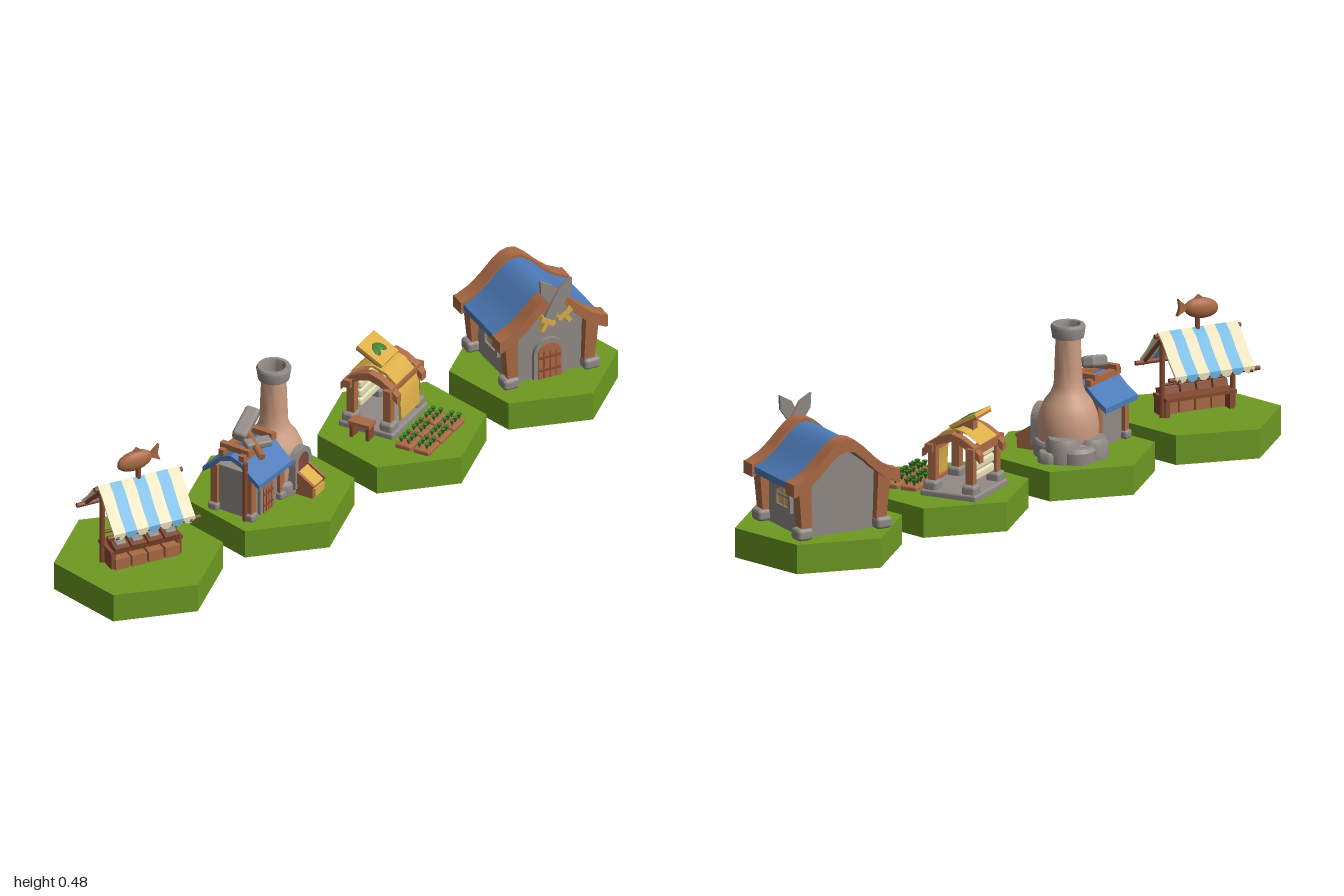
import * as THREE from 'three';
import { toCreasedNormals } from 'three/addons/utils/BufferGeometryUtils.js';
import { RoundedBoxGeometry } from 'three/addons/geometries/RoundedBoxGeometry.js';

const COLORS = {
  grass: 0x6d9a22, wood: 0xaa6a45, darkWood: 0x874a31, roofBlue: 0x4d7bb8, stone: 0x918a86,
  gold: 0xdcae48, clay: 0xcb9b80, cream: 0xe8dfb8, skyBlue: 0x6cb4e0, leaf: 0x3f7d28,
};
const GROUND = 0.088;

export function createModel() {
  const M = {};
  for (const [name, color] of Object.entries(COLORS)) {
    M[name] = new THREE.MeshStandardMaterial({ color, side: THREE.DoubleSide });
    M[name].name = name;
  }

  // ---- helpers ----
  const add = (g, name, geo, mat, p = [0, 0, 0], r = [0, 0, 0]) => {
    const m = new THREE.Mesh(geo, M[mat]);
    m.name = name;
    m.position.set(...p);
    m.rotation.set(...r);
    g.add(m);
    return m;
  };
  const box = (g, name, mat, s, p, r) => add(g, name, new THREE.BoxGeometry(...s), mat, p, r);
  const rock = (g, name, mat, s, p, r) =>
    add(g, name, new RoundedBoxGeometry(...s, 2, Math.min(...s) * 0.3), mat, p, r);
  const pole = (g, name, mat, a, b, r0, r1 = r0) => {
    const A = new THREE.Vector3(...a), B = new THREE.Vector3(...b);
    const m = add(g, name, new THREE.CylinderGeometry(r1, r0, A.distanceTo(B), 8), mat);
    m.position.copy(A).add(B).multiplyScalar(0.5);
    m.quaternion.setFromUnitVectors(new THREE.Vector3(0, 1, 0), B.sub(A).normalize());
    return m;
  };
  const lathe = (g, name, mat, pts, p) => add(g, name, toCreasedNormals(
    new THREE.LatheGeometry(pts.map(q => new THREE.Vector2(...q)), 24), 0.7), mat, p);
  const extrude = (shape, d) => toCreasedNormals(
    new THREE.ExtrudeGeometry(shape, { depth: d, bevelEnabled: false, curveSegments: 10 })
      .translate(0, 0, -d / 2), 0.6);
  const poly = pts => new THREE.Shape(pts.map(q => new THREE.Vector2(...q)));
  // bent sheet: a profile line given thickness, then extruded to width d
  const sheet = (pts, d, dx, dy) =>
    extrude(poly([...pts, ...[...pts].reverse().map(([x, y]) => [x + dx, y + dy])]), d);
  const mirror = half => [...half.slice(1).reverse().map(([x, y]) => [-x, y]), ...half];
  const along = geo => geo.rotateY(-Math.PI / 2); // profile x becomes z
  const arch = (w, h, C = THREE.Shape) => {
    const s = new C();
    s.moveTo(-w / 2, 0); s.lineTo(w / 2, 0); s.lineTo(w / 2, h - w / 2);
    s.absarc(0, h - w / 2, w / 2, 0, Math.PI, false);
    s.lineTo(-w / 2, 0);
    return s;
  };
  const archFrame = (w, h, t, d) => {
    const s = arch(w, h);
    const hole = arch(w - 2 * t, h - 2 * t, THREE.Path);
    s.holes.push(new THREE.Path(hole.getPoints(10).map(q => q.add(new THREE.Vector2(0, t)))));
    return extrude(s, d);
  };
  const place = (parent, name, x, z, turn) => {
    const g = new THREE.Group();
    g.name = name;
    g.position.set(x, 0, z);
    g.rotation.y = turn;
    parent.add(g);
    return g;
  };
  const door = (g, w, h, z) => {
    add(g, 'doorFrame', extrude(arch(w + 0.026, h + 0.014), 0.016), 'stone', [0, GROUND, z]);
    add(g, 'door', extrude(arch(w, h), 0.008), 'wood', [0, GROUND, z + 0.008]);
    for (const k of [-1, 0, 1]) box(g, 'doorPlankGap', 'darkWood', [0.004, h * 0.75, 0.004], [k * w * 0.25, GROUND + h * 0.4, z + 0.011]);
    for (const k of [0.25, 0.62]) box(g, 'doorStrap', 'darkWood', [w * 0.9, 0.008, 0.004], [0, GROUND + h * k, z + 0.012]);
  };

  const model = new THREE.Group();
  model.name = 'villageTiles';
  for (const x of [-0.783, -0.261, 0.261, 0.783])
    add(model, 'grassTile', toCreasedNormals(new THREE.CylinderGeometry(0.2506, 0.2506, GROUND, 6), 0.5), 'grass', [x, GROUND / 2, 0]);

  // ---- market stall ----
  const stall = place(model, 'marketStall', -0.783, 0, -0.31);
  const slope = mirror([[0, 0.345], [0.03, 0.322], [0.07, 0.275], [0.11, 0.238]]);
  for (let i = 0; i < 7; i++) {
    const x = (i - 3) * 0.037, mat = i % 2 ? 'skyBlue' : 'cream';
    add(stall, 'awningStripe', along(sheet(slope, 0.037, 0, -0.009)), mat, [x, 0, 0]);
    for (const s of [-1, 1])
      add(stall, 'awningScallop', new THREE.CircleGeometry(0.0185, 10, Math.PI, Math.PI), mat, [x, 0.236, s * 0.111]);
  }
  for (const s of [-1, 1]) {
    pole(stall, 'eavePole', 'darkWood', [-0.148, 0.228, s * 0.103], [0.148, 0.228, s * 0.103], 0.007);
    pole(stall, 'stallPost', 'darkWood', [s * 0.115, GROUND, 0], [s * 0.115, 0.335, 0], 0.009, 0.008);
    for (const k of [-1, 1]) pole(stall, 'rafter', 'darkWood', [s * 0.118, 0.323, 0], [s * 0.118, 0.222, k * 0.112], 0.006);
    box(stall, 'counterLeg', 'darkWood', [0.014, 0.06, 0.07], [s * 0.105, 0.115, 0.02]);
  }
  pole(stall, 'ridgePole', 'darkWood', [-0.14, 0.333, 0], [0.14, 0.333, 0], 0.007);
  box(stall, 'counter', 'darkWood', [0.23, 0.01, 0.085], [0, 0.142, 0.015]);
  pole(stall, 'hangingRail', 'darkWood', [-0.115, 0.185, 0], [0.115, 0.185, 0], 0.005);
  for (let i = 0; i < 4; i++) {
    const x = (i - 1.5) * 0.053;
    box(stall, 'lowCrate', 'wood', [0.047, 0.035, 0.05], [x, 0.106, 0.04]);
    box(stall, 'crate', 'darkWood', [0.047, 0.022, 0.055], [x, 0.156, 0.035], [0.3, 0, 0]);
    rock(stall, 'catch', 'stone', [0.034, 0.016, 0.04], [x, 0.168, 0.035], [0.3, 0, 0]);
  }
  // carved fish sign
  pole(stall, 'fishStand', 'darkWood', [0, 0.33, 0], [0, 0.39, 0], 0.008);
  const fish = new THREE.Group();
  fish.name = 'fishSign';
  fish.position.set(0, 0.402, 0);
  fish.rotation.z = 0.12;
  stall.add(fish);
  add(fish, 'fishBody', new THREE.SphereGeometry(1, 16, 10), 'wood', [-0.012, 0, 0]).scale.set(0.056, 0.031, 0.021);
  add(fish, 'fishTail', extrude(poly([[0.03, 0], [0.068, 0.027], [0.06, 0], [0.066, -0.025]]), 0.012), 'wood');
  add(fish, 'fishFin', extrude(poly([[-0.03, 0.02], [0, 0.04], [0.022, 0.018]]), 0.01), 'wood');

  // ---- smithy hut ----
  const hut = place(model, 'smithyHut', -0.362, 0.012, 0.23);
  box(hut, 'hutWalls', 'stone', [0.15, 0.15, 0.12], [0, 0.163, 0]);
  door(hut, 0.05, 0.1, 0.062);
  const hutRoof = mirror([[0, 0.288], [0.035, 0.275], [0.065, 0.245], [0.098, 0.22]]);
  add(hut, 'hutRoof', along(sheet(hutRoof, 0.175, 0, -0.016)), 'roofBlue');
  for (const s of [-1, 1]) {
    for (const k of [-1, 1]) {
      box(hut, 'hutPost', 'wood', [0.022, 0.15, 0.022], [s * 0.074, 0.163, k * 0.06]);
      rock(hut, 'hutPostFoot', 'stone', [0.034, 0.025, 0.034], [s * 0.076, 0.1, k * 0.062]);
    }
    box(hut, 'platformBeam', 'wood', [0.17, 0.02, 0.018], [0, 0.286, s * 0.035]);
    box(hut, 'platformCrossBeam', 'wood', [0.018, 0.018, 0.1], [s * 0.06, 0.3, 0]);
  }
  pole(hut, 'sidePole', 'darkWood', [-0.088, GROUND, 0.05], [-0.088, 0.28, 0.05], 0.008);
  // hammer sign on the roof
  pole(hut, 'hammerHandle', 'wood', [-0.06, 0.3, 0.09], [0.02, 0.335, -0.03], 0.011);
  rock(hut, 'hammerHead', 'stone', [0.12, 0.036, 0.045], [0.022, 0.335, -0.02], [0.2, 0.25, 0.2]);
  rock(hut, 'ironBar', 'stone', [0.085, 0.022, 0.035], [-0.015, 0.312, 0.045], [0.2, -0.5, 0]);

  // ---- furnace ----
  const forge = place(model, 'furnace', -0.224, -0.024, 0.28);
  lathe(forge, 'furnaceBase', 'stone', [[0, GROUND], [0.1, GROUND], [0.103, 0.125], [0.096, 0.135], [0.08, 0.135]]);
  lathe(forge, 'furnaceBody', 'clay', [[0.087, 0.13], [0.09, 0.17], [0.085, 0.21], [0.071, 0.245], [0.052, 0.27], [0.042, 0.295], [0.04, 0.34], [0.036, 0.445]]);
  lathe(forge, 'chimneyCap', 'stone', [[0.036, 0.437], [0.046, 0.437], [0.051, 0.47], [0.047, 0.477], [0.036, 0.477], [0.032, 0.465], [0.032, 0.42], [0, 0.42]]);
  for (const [x, z, r, h] of [[0.078, -0.025, 0.05, 0.07], [0.06, -0.06, 0.055, 0.045], [0.105, 0.005, 0.034, 0.032], [0, -0.075, 0.05, 0.06]])
    lathe(forge, 'baseStones', 'stone', [[0, 0], [r, 0], [r * 1.02, h * 0.75], [r * 0.85, h], [0, h]], [x, GROUND, z]);
  add(forge, 'hearthArch', archFrame(0.09, 0.12, 0.016, 0.035), 'stone', [0, 0.11, 0.082]);
  add(forge, 'hearthBack', extrude(arch(0.062, 0.09), 0.008), 'darkWood', [0, 0.122, 0.089]);
  box(forge, 'hearthTray', 'wood', [0.068, 0.03, 0.06], [0, 0.106, 0.12]);
  box(forge, 'moltenMetal', 'gold', [0.055, 0.022, 0.062], [0, 0.135, 0.118], [0.55, 0, 0]);
  box(forge, 'moltenSpill', 'gold', [0.05, 0.025, 0.008], [0, 0.108, 0.151]);
  for (const s of [-1, 1]) box(forge, 'trayRail', 'wood', [0.01, 0.035, 0.066], [s * 0.032, 0.135, 0.118], [0.55, 0, 0]);

  // ---- seed stand ----
  const stand = place(model, 'seedStand', 0.255, -0.072, 0.32);
  rock(stand, 'stonePlinth', 'stone', [0.215, 0.025, 0.18], [0, 0.094, 0]);
  const rafter = mirror([[0, 0.278], [0.035, 0.267], [0.07, 0.245], [0.092, 0.222]]);
  for (const s of [-1, 1]) {
    for (const k of [-1, 1]) {
      rock(stand, 'standFoot', 'stone', [0.045, 0.035, 0.045], [s * 0.08, 0.115, k * 0.062]);
      box(stand, 'standPost', 'wood', [0.024, 0.125, 0.024], [s * 0.078, 0.18, k * 0.06]);
    }
    add(stand, 'curvedRafter', along(sheet(rafter, 0.026, 0, -0.024)), 'wood', [s * 0.075, 0, 0]);
    box(stand, 'crossBeam', 'wood', [0.205, 0.024, 0.024], [0, 0.23, s * 0.066]);
  }
  add(stand, 'frontCloth', along(sheet([[-0.07, 0.252], [-0.03, 0.277], [0, 0.285], [0.04, 0.272], [0.07, 0.246], [0.086, 0.205], [0.09, 0.13]], 0.112, -0.008, -0.006)), 'gold');
  for (const y of [0.15, 0.18, 0.21])
    rock(stand, 'backSack', 'cream', [0.12, 0.03, 0.03], [0, y, -0.055]);
  box(stand, 'signStand', 'wood', [0.03, 0.04, 0.03], [0, 0.285, -0.02]);
  const sign = new THREE.Group();
  sign.name = 'leafSign';
  sign.position.set(0, 0.306, -0.02);
  sign.rotation.x = 0.5;
  stand.add(sign);
  box(sign, 'signBoard', 'wood', [0.096, 0.008, 0.09], [0, -0.006, 0]);
  box(sign, 'signFace', 'gold', [0.1, 0.01, 0.094], [0, 0.002, 0]);
  for (const s of [-1, 1])
    add(sign, 'signLeaf', new THREE.SphereGeometry(1, 12, 8), 'leaf', [s * 0.011, 0.007, 0], [0, s * 0.6, 0]).scale.set(0.013, 0.004, 0.022);
  // side bench
  box(stand, 'benchTop', 'wood', [0.04, 0.012, 0.07], [-0.13, 0.135, 0]);
  for (const s of [-1, 1]) box(stand, 'benchLeg', 'darkWood', [0.035, 0.045, 0.01], [-0.13, 0.11, s * 0.026]);
  // garden beds
  for (let i = 0; i < 3; i++) for (let j = 0; j < 2; j++) {
    const x = -0.103 + i * 0.076, z = 0.138 + j * 0.06;
    rock(stand, 'soilBed', 'wood', [0.07, 0.02, 0.052], [x, 0.092, z]);
    for (let k = 0; k < 6; k++)
      add(stand, 'sprout', new THREE.ConeGeometry(0.009, 0.02, 5).rotateX(Math.PI), 'leaf',
        [x + (k % 3 - 1) * 0.021, 0.109, z + (k < 3 ? -0.012 : 0.012)]);
  }

  // ---- gabled house ----
  const house = place(model, 'gabledHouse', 0.79, -0.02, -0.29);
  add(house, 'houseWalls', extrude(poly([[-0.12, GROUND], [0.12, GROUND], [0.12, 0.258], [0, 0.348], [-0.12, 0.258]]), 0.22), 'stone');
  const roof = [[0, 0.37], [0.025, 0.364], [0.055, 0.34], [0.09, 0.305], [0.125, 0.276], [0.166, 0.256]];
  add(house, 'houseRoof', sheet(mirror(roof), 0.25, 0, -0.02), 'roofBlue');
  const board = [...roof.map(([x, y]) => [x, y + 0.009]), [0.175, 0.264]];
  for (const s of [-1, 1]) {
    add(house, 'bargeBoard', sheet(mirror(board), 0.05, 0, -0.038), 'wood', [0, 0, s * 0.125]);
    for (const k of [-1, 1]) {
      const post = add(house, 'cornerPost', toCreasedNormals(new THREE.CylinderGeometry(0.03, 0.023, 0.16, 4).rotateY(Math.PI / 4), 0.5), 'wood', [s * 0.127, 0.185, k * 0.116]);
      post.rotation.z = -s * 0.06;
      rock(house, 'cornerStone', 'stone', [0.052, 0.036, 0.05], [s * 0.13, 0.106, k * 0.118]);
    }
    // arched side window
    const win = place(house, 'sideWindow', s * 0.122, 0, s * Math.PI / 2);
    win.position.z = 0;
    add(win, 'windowFrame', archFrame(0.094, 0.09, 0.014, 0.02), 'stone', [0, 0.146, 0]);
    add(win, 'windowPane', extrude(arch(0.07, 0.066), 0.006), 'gold', [0, 0.158, 0]);
    box(win, 'windowMullion', 'stone', [0.007, 0.066, 0.008], [0, 0.192, 0.002]);
    box(win, 'windowBar', 'stone', [0.068, 0.007, 0.008], [0, 0.188, 0.002]);
  }
  door(house, 0.075, 0.115, 0.113);
  // crossed swords on the front gable
  for (const s of [-1, 1]) {
    const sword = place(house, 'crossedSword', 0, 0.16 + s * 0.009, 0);
    sword.position.y = 0.362;
    sword.rotation.z = -s * 0.56;
    add(sword, 'blade', extrude(poly([[-0.016, -0.055], [0.016, -0.055], [0.021, 0.05], [0, 0.088], [-0.021, 0.05]]), 0.01), 'stone');
    box(sword, 'swordGuard', 'gold', [0.05, 0.014, 0.02], [0, -0.06, 0]);
    box(sword, 'swordGrip', 'gold', [0.013, 0.03, 0.014], [0, -0.08, 0]);
  }
  return model;
}
